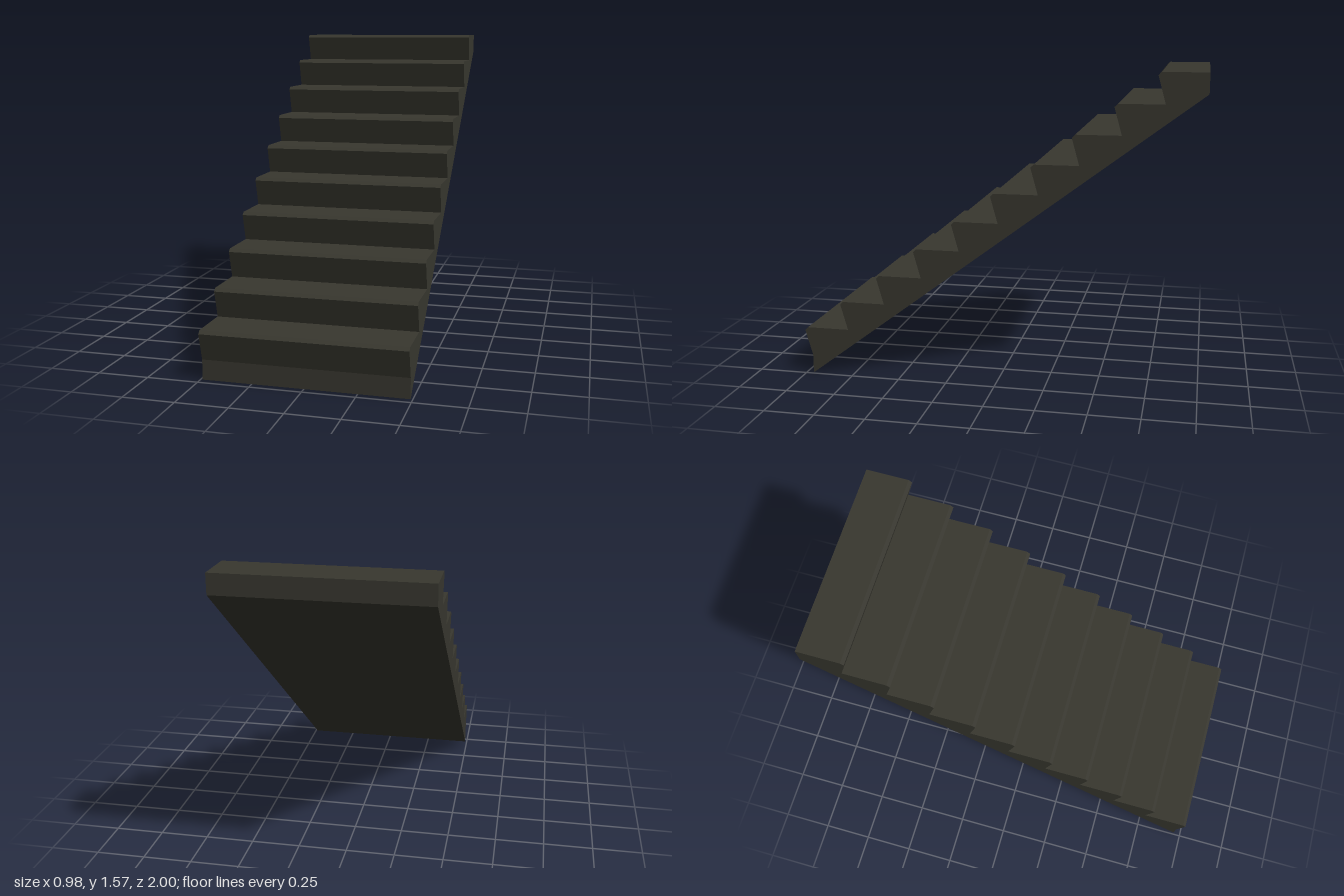
import * as THREE from 'three';

export function createModel() {
  const group = new THREE.Group();
  group.name = 'staircase';
  const darkStone = new THREE.MeshStandardMaterial({ color: 0x38372f });
  darkStone.name = 'darkStone';

  const steps = 10, width = 0.98;
  const run = 0.1966, rise = 0.1475, firstTop = 0.245;
  const inset = 0.037, chamfer = 0.015;

  // Side profile, drawn with z across and y up
  const profile = new THREE.Shape();
  profile.moveTo(1 - inset, 0);
  for (let i = 0; i < steps; i++) {
    const nose = 1 - i * run, top = firstTop + i * rise;
    profile.lineTo(nose - inset, top - rise);     // foot of the sloping riser
    profile.lineTo(nose, top - chamfer);          // nosing
    profile.lineTo(nose - chamfer, top);          // chamfered edge of the tread
  }
  const last = firstTop + (steps - 1) * rise;
  profile.lineTo(-1, last);
  profile.lineTo(-1, last - 0.098);               // short upright back, then sloping underside
  profile.closePath();

  // Extrude the profile across the width
  const geometry = new THREE.ExtrudeGeometry(profile, { depth: width, bevelEnabled: false });
  geometry.translate(0, 0, -width / 2);
  geometry.rotateY(-Math.PI / 2);

  const flight = new THREE.Mesh(geometry, darkStone);
  flight.name = 'stairFlight';
  group.add(flight);
  return group;
}
